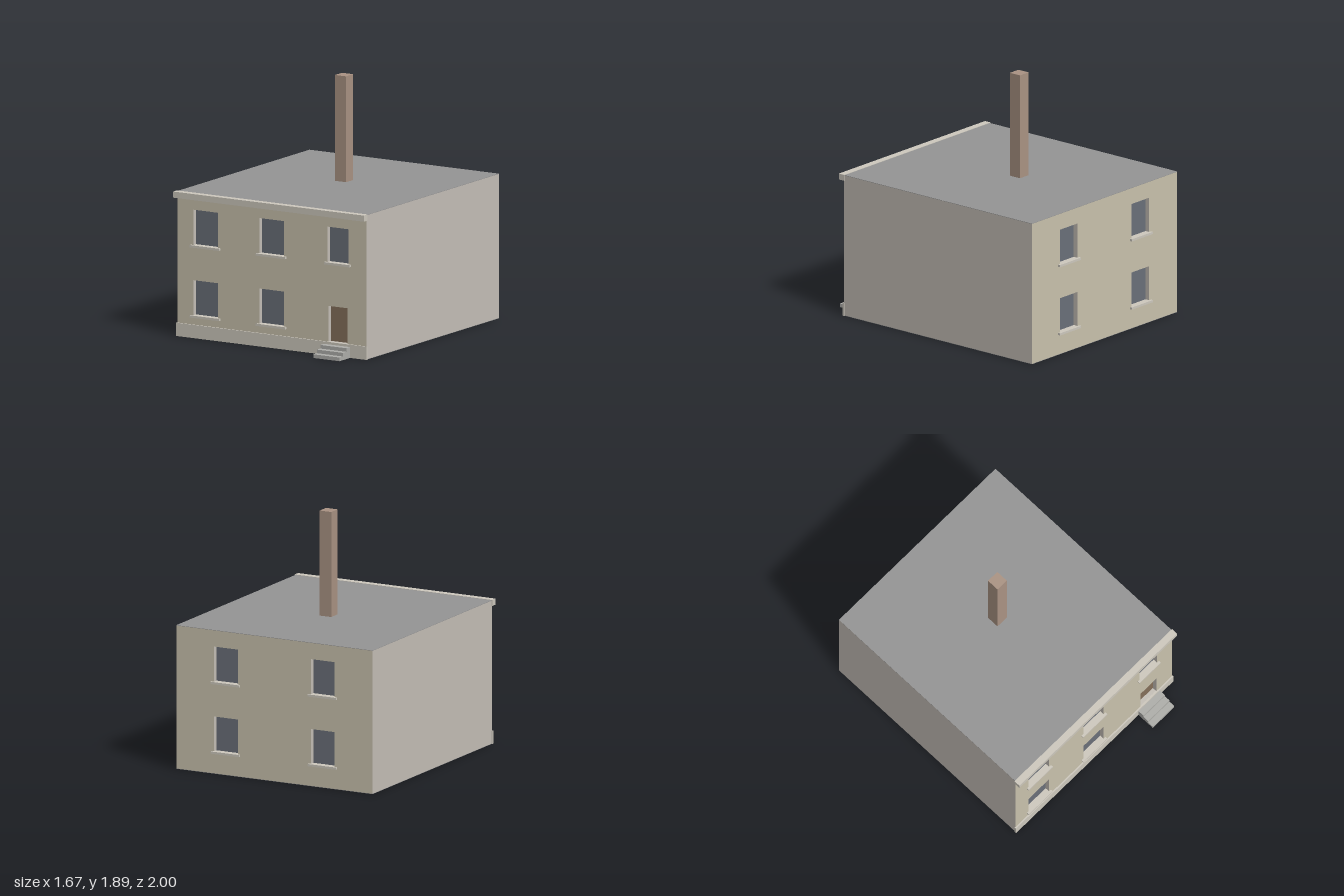
import * as THREE from 'three';

const mat = (color) => new THREE.MeshStandardMaterial({ color, flatShading: true });

export function createModel() {
  const house = new THREE.Group();
  house.name = 'house';

  const facade = mat(0xcac3ae), plaster = mat(0xc7c1b9), trim = mat(0xcfcabf);
  const slate = mat(0x969696), glass = mat(0x6b707a), wood = mat(0x85705b);
  const stone = mat(0xb0b0ac), brick = mat(0xab9484);

  const W = 0.83, FRONT = 0.842, BACK = -0.98, REVEAL = 0.04;
  const BASE = 0.003, WALL_TOP = 1.09, ROOF_TOP = 1.093;

  // Box given by its extents on each axis
  function box(name, material, x0, x1, y0, y1, z0, z1, parent = house) {
    const mesh = new THREE.Mesh(new THREE.BoxGeometry(x1 - x0, y1 - y0, z1 - z0), material);
    mesh.position.set((x0 + x1) / 2, (y0 + y1) / 2, (z0 + z1) / 2);
    mesh.name = name;
    parent.add(mesh);
  }

  // Outer wall panel with openings, plus recessed panes and projecting sills
  function wall(name, openings, z, facing) {
    const group = new THREE.Group();
    group.name = name;
    const shape = new THREE.Shape([[-W, BASE], [W, BASE], [W, WALL_TOP], [-W, WALL_TOP]]
      .map(([x, y]) => new THREE.Vector2(x, y)));
    for (const { x, w, y0, y1, door } of openings) {
      const a = x - w / 2, b = x + w / 2;
      shape.holes.push(new THREE.Path([[a, y0], [a, y1], [b, y1], [b, y0]]
        .map(([px, py]) => new THREE.Vector2(px, py))));
      const inner = z - facing * REVEAL;
      box(door ? 'door' : 'windowPane', door ? wood : glass,
        a, b, y0, y1, inner - 0.004, inner + 0.004, group);
      if (!door) {
        const out = z + facing * 0.019, back = z - facing * 0.035;
        box('windowSill', trim, a - 0.02, b + 0.02, y0 - 0.016, y0 + 0.001,
          Math.min(out, back), Math.max(out, back), group);
      }
    }
    const panel = new THREE.Mesh(
      new THREE.ExtrudeGeometry(shape, { depth: REVEAL, bevelEnabled: false }),
      [facade, plaster]);
    panel.position.z = facing > 0 ? z - REVEAL : z;
    panel.name = name + 'Panel';
    group.add(panel);
    house.add(group);
  }

  const lower = { y0: 0.17, y1: 0.435 }, upper = { y0: 0.70, y1: 0.967 };

  // Front wall: five windows and a door
  const front = [{ x: 0.58, w: 0.168, y0: 0.1, y1: 0.37, door: true },
    { x: 0.579, w: 0.185, ...upper }];
  for (const x of [-0.581, -0.002])
    for (const row of [lower, upper]) front.push({ x, w: 0.216, ...row });
  wall('frontWall', front, FRONT, 1);

  // Back wall: two mirrored columns of windows
  const back = [];
  for (const x of [-0.41, 0.41])
    for (const row of [lower, upper]) back.push({ x, w: 0.2, ...row });
  wall('backWall', back, BACK, -1);

  // Body between the two walls, roof and underside
  box('body', plaster, -W, W, BASE, WALL_TOP, BACK + REVEAL, FRONT - REVEAL);
  box('roof', slate, -W, W, WALL_TOP, ROOF_TOP, BACK, FRONT);
  box('floor', slate, -W, W, 0, BASE, BACK, FRONT);

  // Front trim
  box('cornice', trim, -0.836, 0.836, 1.05, 1.096, FRONT - 0.005, 0.889);
  box('plinth', trim, -0.836, 0.836, 0, 0.1, FRONT - 0.005, 0.853);

  // Entrance steps, one stepped profile extruded across the width
  const profile = [[0.85, 0], [1, 0], [1, 0.028], [0.952, 0.028], [0.952, 0.055],
    [0.904, 0.055], [0.904, 0.082], [0.85, 0.082]];
  const stepShape = new THREE.Shape(profile.map(([z, y]) => new THREE.Vector2(-z, y)));
  const steps = new THREE.Mesh(
    new THREE.ExtrudeGeometry(stepShape, { depth: 0.228, bevelEnabled: false }), stone);
  steps.rotation.y = Math.PI / 2;
  steps.position.x = 0.464;
  steps.name = 'entranceSteps';
  house.add(steps);

  // Chimney
  box('chimney', brick, -0.049, 0.049, WALL_TOP - 0.02, 1.892, -0.201, -0.103);

  return house;
}
